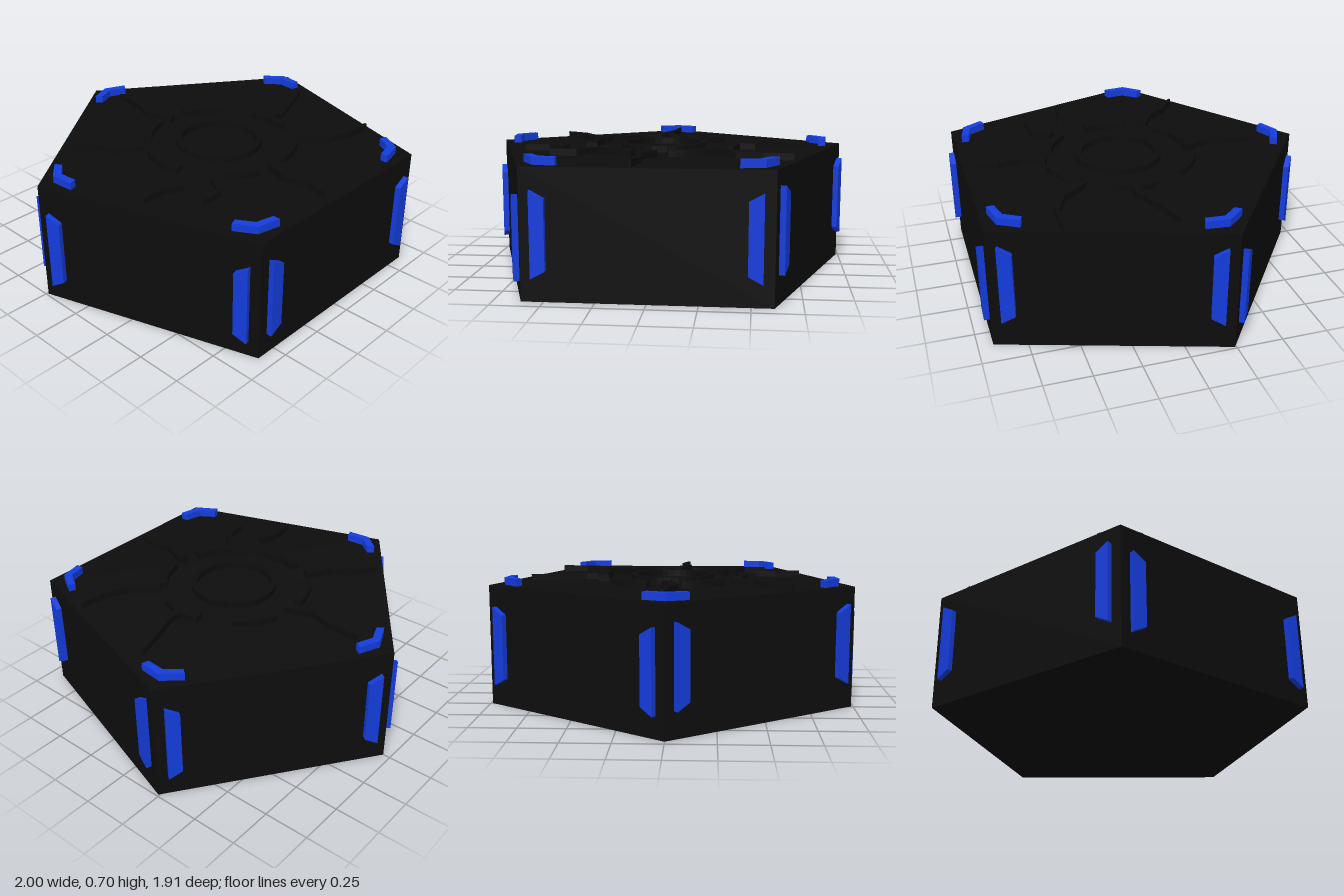
import * as THREE from 'three';

const R = 1.04, CZ = 0.08, H = 0.66, STEP = Math.PI * 2 / 5;
const black = new THREE.MeshStandardMaterial({ color: 0x0d0d0d, flatShading: true });
const blue = new THREE.MeshStandardMaterial({ color: 0x143cdc, flatShading: true });

// flat outline of [x, z] points raised from y0 to y1
function slab(name, pts, y0, y1, material) {
  const shape = new THREE.Shape(pts.map(([x, z]) => new THREE.Vector2(x, -z)));
  const geo = new THREE.ExtrudeGeometry(shape, { depth: y1 - y0, bevelEnabled: false });
  geo.rotateX(-Math.PI / 2);
  geo.translate(0, y0, 0);
  const mesh = new THREE.Mesh(geo, material);
  mesh.name = name;
  return mesh;
}

// outline of a path with a width that fades from w0 to w1
function ribbon(path, w0, w1) {
  const left = [], right = [];
  path.forEach(([x, z], i) => {
    const a = path[Math.max(i - 1, 0)], b = path[Math.min(i + 1, path.length - 1)];
    const dx = b[0] - a[0], dz = b[1] - a[1], len = Math.hypot(dx, dz);
    const w = (w0 + (w1 - w0) * i / (path.length - 1)) / 2;
    left.push([x - dz / len * w, z + dx / len * w]);
    right.unshift([x + dz / len * w, z - dx / len * w]);
  });
  return left.concat(right);
}

function arc(r, from, to, n = 10) {
  return Array.from({ length: n + 1 }, (_, i) => {
    const a = from + (to - from) * i / n;
    return [r * Math.sin(a), CZ - r * Math.cos(a)];
  });
}

// point at radius r and sideways offset t along the direction of corner k
function cornerPoint(k, r, t) {
  const a = k * STEP;
  return [r * Math.sin(a) + t * Math.cos(a), CZ - r * Math.cos(a) + t * Math.sin(a)];
}

export function createModel() {
  const model = new THREE.Group();
  model.name = 'pentagonBlock';

  // pentagonal body
  const corners = [0, 1, 2, 3, 4].map(k => cornerPoint(k, R, 0));
  model.add(slab('body', corners, 0, H, black));

  // chevrons at the top corners
  const chevron = [[0.955, 0], [0.905, 0.115], [0.872, 0.092], [0.91, 0], [0.872, -0.092], [0.905, -0.115]];
  for (let k = 0; k < 5; k++) {
    model.add(slab('cornerChevron', chevron.map(([r, t]) => cornerPoint(k, r, t)), H - 0.01, 0.7, blue));
  }

  // two tapered plates on every side, tall edge toward the corner
  const half = R * Math.sin(STEP / 2), apothem = R * Math.cos(STEP / 2);
  const bottoms = [0.115, 0.15, 0.118, 0.087, 0.14];
  bottoms.forEach((y, k) => {
    const side = new THREE.Group();
    side.name = 'sidePlates';
    const b = (k + 0.5) * STEP;
    side.position.set(apothem * Math.sin(b), y, CZ - apothem * Math.cos(b));
    side.rotation.y = Math.PI - b;
    for (const s of [-1, 1]) {
      const outer = s * (half - 0.055), inner = s * (half - 0.128);
      const shape = new THREE.Shape([
        new THREE.Vector2(outer, 0), new THREE.Vector2(outer, 0.432),
        new THREE.Vector2(inner, 0.392), new THREE.Vector2(inner, 0.04)]);
      const plate = new THREE.Mesh(
        new THREE.ExtrudeGeometry(shape, { depth: 0.04, bevelEnabled: false }), blue);
      plate.position.z = -0.01;
      plate.name = 'sidePlate';
      side.add(plate);
    }
    model.add(side);
  });

  // raised ornament on the top: central ring, broken outer ring and rays
  const relief = new THREE.Group();
  relief.name = 'topRelief';
  const raise = (name, path, w0, w1) => relief.add(slab(name, ribbon(path, w0, w1), H - 0.01, 0.695, black));
  for (let i = 0; i < 6; i++) {
    const a = i * Math.PI / 3;
    raise('ringSegment', arc(0.22, a, a + Math.PI / 3, 6), 0.03, 0.03);
    raise('outerArc', arc(0.4, a + 0.3, a + 0.9), 0.06, 0.04);
  }
  const rays = [
    [[0.02, -0.3], [-0.03, -0.45], [0.01, -0.58], [0.02, -0.75]],
    [[0.38, 0.1], [0.5, 0.11], [0.65, 0.05], [0.8, 0.0]],
    [[0.3, 0.36], [0.42, 0.5], [0.55, 0.55], [0.7, 0.56]],
    [[-0.02, 0.48], [-0.08, 0.62], [-0.05, 0.74], [-0.08, 0.87]],
    [[-0.34, 0.38], [-0.42, 0.48], [-0.55, 0.49]],
    [[-0.5, 0.3], [-0.6, 0.26], [-0.74, 0.27]],
    [[-0.34, -0.16], [-0.46, -0.24], [-0.52, -0.35], [-0.64, -0.44]],
  ];
  rays.forEach(path => raise('ray', path, 0.055, 0.012));
  model.add(relief);

  return model;
}
